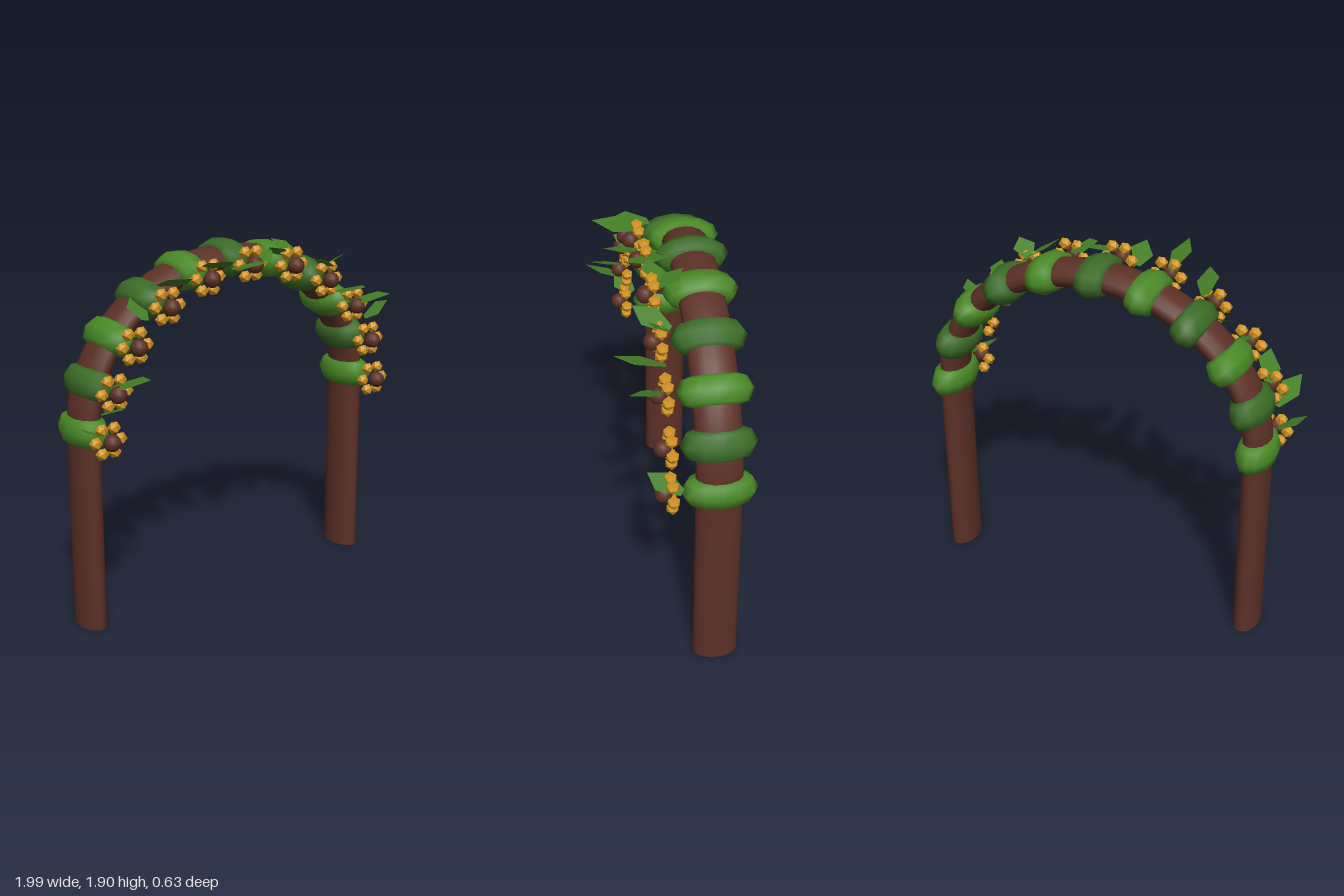
import * as THREE from 'three';

const CX = 0.022, CY = 1.05, RX = 0.867, RY = 0.75; // arch ellipse
const DEPTH = -0.14, FLAT = 1.67, R = 0.0675;        // oval wood section

function material(name, color, extra = {}) {
  const m = new THREE.MeshStandardMaterial({ color, ...extra });
  m.name = name;
  return m;
}

// Base, tip, and sideways tilt of each leaf
const LEAVES = [
  [0.93, 1.08, 0.04, 0.82, 1.13, 0.19, -0.3],
  [0.84, 1.40, 0.06, 0.95, 1.49, 0.12, 0.3],
  [0.72, 1.51, 0.07, 0.82, 1.57, 0.27, 0.3],
  [0.62, 1.58, 0.07, 0.60, 1.64, 0.31, 0.2],
  [0.54, 1.72, 0.04, 0.42, 1.79, 0.20, -0.4],
  [0.52, 1.72, 0.06, 0.62, 1.79, 0.13, -0.2],
  [0.33, 1.82, 0.07, 0.27, 1.88, -0.06, 0.1],
  [0.27, 1.81, 0.05, 0.14, 1.87, 0.09, 0.2],
  [0.06, 1.82, 0.17, 0.14, 1.87, -0.01, 0],
  [-0.08, 1.79, 0.07, -0.04, 1.84, 0.28, 0.2],
  [-0.27, 1.81, 0.07, -0.26, 1.88, 0.31, -0.3],
  [-0.48, 1.74, 0.0, -0.42, 1.80, 0.20, -0.4],
  [-0.60, 1.60, 0.06, -0.58, 1.68, -0.10, -0.2],
  [-0.64, 1.50, 0.03, -0.71, 1.55, 0.16, -0.4],
  [-0.80, 1.31, 0.07, -0.73, 1.38, 0.29, 0.3],
  [-0.85, 1.19, 0.07, -0.90, 1.27, 0.30, 0.2],
  [-0.88, 1.08, 0.04, -1.0, 1.14, 0.13, -0.3],
];

// Flat pointed blade, widest just past its middle
function leafGeometry([bx, by, bz, tx, ty, tz, tilt]) {
  const base = new THREE.Vector3(bx, by, bz), tip = new THREE.Vector3(tx, ty, tz);
  const dir = tip.clone().sub(base).normalize();
  const side = new THREE.Vector3(0, 1, 0).cross(dir).normalize();
  if (side.x < 0) side.negate();
  side.y += tilt;
  side.normalize();
  const outline = [[0, -0.02], [0.5, -0.06], [1, 0], [0.6, 0.06], [0, 0.02]];
  const points = outline.map(([t, w]) => base.clone().lerp(tip, t).addScaledVector(side, w));
  const geo = new THREE.BufferGeometry().setFromPoints(points);
  const up = dir.clone().cross(side).y > 0;
  geo.setIndex(up ? [0, 1, 4, 1, 3, 4, 1, 2, 3] : [0, 4, 1, 1, 4, 3, 1, 3, 2]);
  geo.computeVertexNormals();
  return geo;
}

export function createModel() {
  const wood = material('brown wood', 0x5c3026);
  const lightGreen = material('light green', 0x4a8a26);
  const darkGreen = material('dark green', 0x3b6c26);
  const leafGreen = material('leaf green', 0x447e26, { side: THREE.DoubleSide });
  const gold = material('gold petal', 0xd0921e, { flatShading: true });

  const model = new THREE.Group();
  const add = (parent, name, geo, mat, x = 0, y = 0, z = 0) => {
    const mesh = new THREE.Mesh(geo, mat);
    mesh.name = name;
    mesh.position.set(x, y, z);
    parent.add(mesh);
    return mesh;
  };
  const onArch = (a) => new THREE.Vector3(CX + RX * Math.cos(a), CY + RY * Math.sin(a), 0);

  // Upright posts
  const postGeo = new THREE.CylinderGeometry(R, R, CY, 20).scale(1, 1, FLAT);
  for (const s of [-1, 1]) {
    add(model, s > 0 ? 'leftPost' : 'rightPost', postGeo, wood, CX + s * RX, CY / 2, DEPTH);
  }

  // Arch beam
  const points = [];
  for (let i = 0; i <= 24; i++) points.push(onArch((i / 24) * Math.PI));
  const archGeo = new THREE.TubeGeometry(new THREE.CatmullRomCurve3(points), 48, R, 16).scale(1, 1, FLAT);
  add(model, 'archBeam', archGeo, wood, 0, 0, DEPTH);

  // Vine wraps and flowers, evenly spaced round the arch
  const wrapGeo = new THREE.TorusGeometry(0.045, 0.055, 8, 12).rotateY(Math.PI / 2).scale(1.5, 1, 1.83);
  const petalGeo = new THREE.IcosahedronGeometry(0.033, 0);
  const heartGeo = new THREE.SphereGeometry(0.043, 12, 8);
  for (let i = 0; i <= 10; i++) {
    const a = (i / 10) * Math.PI, p = onArch(a);
    const wrap = add(model, 'vineWrap', wrapGeo, i % 2 ? darkGreen : lightGreen, p.x, p.y, DEPTH);
    wrap.rotation.z = Math.atan2(RY * Math.cos(a), -RX * Math.sin(a));

    const flower = new THREE.Group();
    flower.name = 'flower';
    flower.position.set(p.x, p.y, 0.085);
    add(flower, 'flowerCentre', heartGeo, wood, 0, 0, 0.037);
    for (let k = 0; k < 6; k++) {
      const t = (k / 6) * Math.PI * 2;
      add(flower, 'petal', petalGeo, gold, 0.07 * Math.cos(t), 0.07 * Math.sin(t), 0);
    }
    model.add(flower);
  }

  // Leaves among the flowers
  for (const leaf of LEAVES) add(model, 'leaf', leafGeometry(leaf), leafGreen);

  return model;
}
